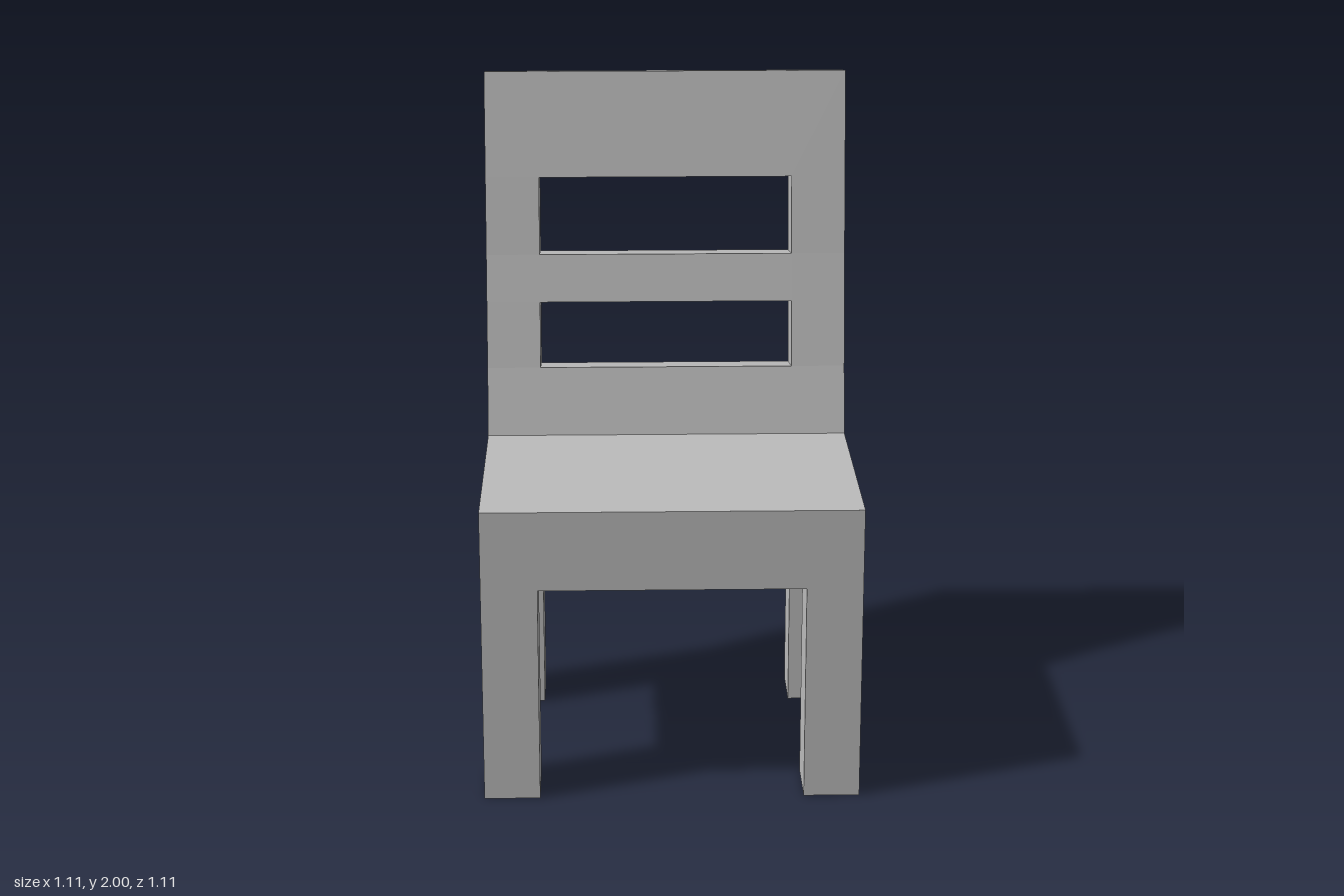
import * as THREE from 'three';

const W = 0.555;      // half width of the chair
const INNER = 0.39;   // half width between the legs and between the stiles
const SEAT_TOP = 0.895, SEAT_BOTTOM = 0.655;

// Slanted levels of the backrest: [front z, front y, back z, back y]
const LEVELS = [
  [-0.17, 0.895, -0.345, 0.895],
  [-0.22, 1.10, -0.378, 1.07],
  [-0.257, 1.30, -0.415, 1.272],
  [-0.285, 1.445, -0.455, 1.415],
  [-0.323, 1.68, -0.495, 1.652],
  [-0.376, 2.0, -0.553, 1.97],
];

export function createModel() {
  const chair = new THREE.Group();
  chair.name = 'chair';
  const grey = new THREE.MeshStandardMaterial({ color: 0xbcbcbc });
  grey.name = 'plain grey';

  function add(name, geometry) {
    const mesh = new THREE.Mesh(geometry, grey);
    mesh.name = name;
    chair.add(mesh);
  }

  function box(name, x0, x1, y0, y1, z0, z1) {
    const g = new THREE.BoxGeometry(x1 - x0, y1 - y0, z1 - z0);
    add(name, g.translate((x0 + x1) / 2, (y0 + y1) / 2, (z0 + z1) / 2));
  }

  // Side profile through the given levels, extruded from x0 to x1
  function backPart(name, levels, x0, x1) {
    const front = levels.map(([z, y]) => new THREE.Vector2(-z, y));
    const back = levels.map(([, , z, y]) => new THREE.Vector2(-z, y)).reverse();
    const g = new THREE.ExtrudeGeometry(new THREE.Shape([...front, ...back]), {
      depth: x1 - x0, bevelEnabled: false,
    });
    add(name, g.rotateY(Math.PI / 2).translate(x0, 0, 0));
  }

  // Seat block
  box('seat', -W, W, SEAT_BOTTOM, SEAT_TOP, -0.345, 0.553);

  // Legs and backrest stiles, left and right
  for (const [side, x0, x1] of [['left', INNER, W], ['right', -W, -INNER]]) {
    box(side + 'FrontLeg', x0, x1, 0, SEAT_BOTTOM, 0.375, 0.553);
    box(side + 'BackLeg', x0, x1, 0, SEAT_BOTTOM, -0.345, -0.17);
    backPart(side + 'Stile', LEVELS, x0, x1);
  }

  // Three rails leaving two open slots
  ['lowerRail', 'middleRail', 'topRail'].forEach((name, i) => {
    backPart(name, LEVELS.slice(i * 2, i * 2 + 2), -INNER, INNER);
  });

  return chair;
}
